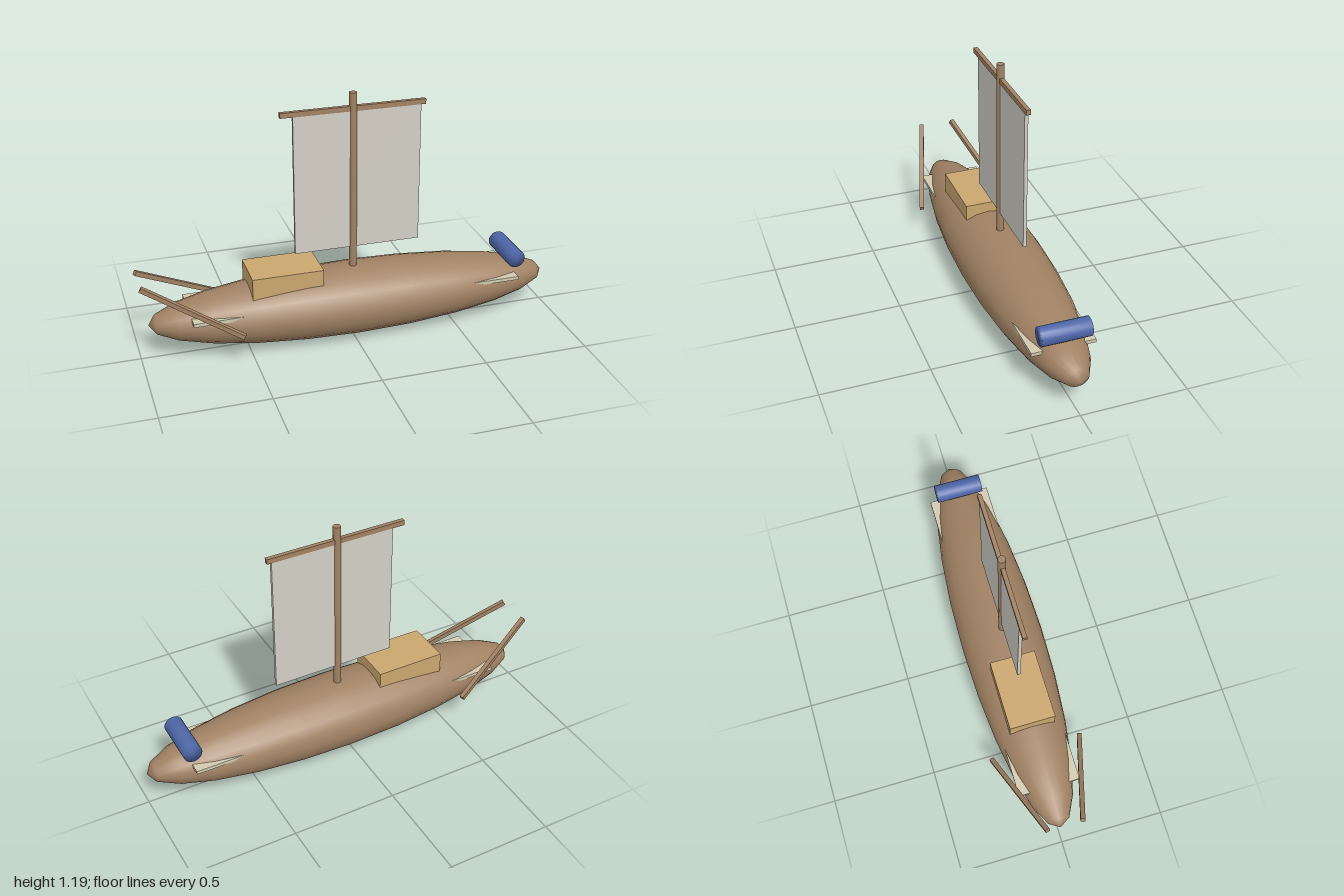
import * as THREE from 'three';
import { mergeVertices } from 'three/addons/utils/BufferGeometryUtils.js';

const CX = 0.018; // hull midpoint along the length

function material(name, color) {
  const m = new THREE.MeshStandardMaterial({ color });
  m.name = name;
  return m;
}

export function createModel() {
  const wood = material('brown wood', 0xa18264);
  const cloth = material('sail cloth', 0xd3cfc6);
  const tan = material('tan cabin', 0xcaa66f);
  const cream = material('cream boards', 0xd2cab0);
  const blue = material('blue roll', 0x4f67a8);

  const model = new THREE.Group();
  model.name = 'sailingBoat';

  function add(name, geometry, mat, x, y, z) {
    const mesh = new THREE.Mesh(geometry, mat);
    mesh.name = name;
    mesh.position.set(x, y, z);
    model.add(mesh);
    return mesh;
  }

  // Hull: a long ellipsoid with its poles at bow and stern
  const hull = new THREE.SphereGeometry(1, 20, 12);
  hull.rotateZ(-Math.PI / 2);
  hull.scale(0.975, 0.168, 0.203);
  add('hull', hull, wood, CX, 0.172, 0);

  // Mast, yard and square sail
  add('mast', new THREE.CylinderGeometry(0.018, 0.018, 0.99, 12), wood, CX, 0.695, 0);
  add('yard', new THREE.BoxGeometry(0.68, 0.024, 0.02), wood, CX + 0.002, 1.115, 0);
  add('sail', new THREE.BoxGeometry(0.6, 0.67, 0.016), cloth, 0.038, 0.772, 0);

  // Cabin set into the deck
  add('cabin', new THREE.BoxGeometry(0.335, 0.135, 0.22), tan, -0.322, 0.318, 0);

  // Boards passing through the hull near each end
  for (const end of [-1, 1]) {
    add(end < 0 ? 'sternBoard' : 'bowBoard',
      new THREE.BoxGeometry(0.24, 0.017, 0.298), cream, CX + end * 0.67, 0.218, 0);
  }

  // Roll lying across the bow, softly shaded into its ends
  let roll = new THREE.CylinderGeometry(0.044, 0.044, 0.23, 20);
  roll.deleteAttribute('normal');
  roll.deleteAttribute('uv');
  roll = mergeVertices(roll);
  roll.computeVertexNormals();
  roll.rotateX(Math.PI / 2);
  add('bowRoll', roll, blue, 0.806, 0.304, 0);

  // Pair of steering oars, slanting down and outward
  for (const side of [-1, 1]) {
    const top = new THREE.Vector3(-0.99, 0.405, 0.083 * side);
    const foot = new THREE.Vector3(-0.555, 0.165, 0.219 * side);
    const mid = top.clone().lerp(foot, 0.5);
    const oar = add(side > 0 ? 'frontOar' : 'backOar',
      new THREE.BoxGeometry(0.022, 0.022, top.distanceTo(foot)), wood, mid.x, mid.y, mid.z);
    oar.lookAt(foot);
  }

  return model;
}
